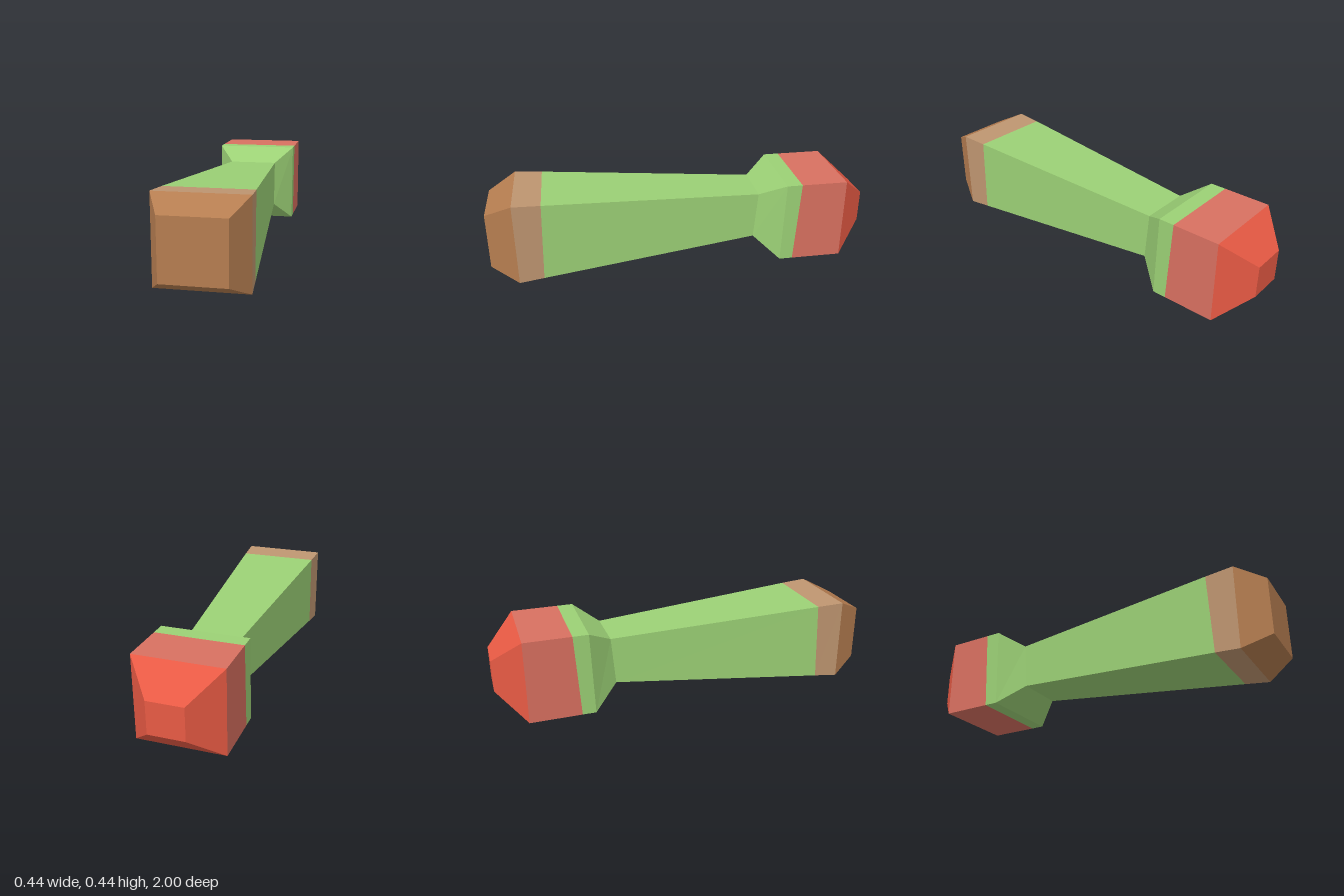
import * as THREE from 'three';

const material = (name, color) => {
  const m = new THREE.MeshStandardMaterial({ color });
  m.name = name;
  return m;
};

// A rectangular cross-section whose lower and upper edges may sit at different z
const section = (halfWidth, yLow, yHigh, zLow, zHigh = zLow) => [
  [-halfWidth, yLow, zLow], [halfWidth, yLow, zLow],
  [halfWidth, yHigh, zHigh], [-halfWidth, yHigh, zHigh],
];

// Flat-faced loft through sections ordered front to back, with optional end caps
function loft(sections, capFront, capBack) {
  const positions = [];
  const quad = (a, b, c, d) => positions.push(...a, ...b, ...c, ...a, ...c, ...d);
  for (let s = 0; s < sections.length - 1; s++) {
    const a = sections[s], b = sections[s + 1];
    for (let i = 0; i < 4; i++) {
      const j = (i + 1) % 4;
      quad(a[i], b[i], b[j], a[j]);
    }
  }
  if (capFront) quad(...sections[0]);
  if (capBack) quad(...[...sections[sections.length - 1]].reverse());
  const geometry = new THREE.BufferGeometry();
  geometry.setAttribute('position', new THREE.Float32BufferAttribute(positions, 3));
  geometry.computeVertexNormals();
  return geometry;
}

export function createModel() {
  const group = new THREE.Group();
  group.name = 'taperedClub';

  const brown = material('brown', 0xb57d50);
  const tan = material('tan', 0xbe9570);
  const green = material('green', 0x9bd075);
  const rose = material('rose', 0xd87060);
  const red = material('red', 0xe85a44);

  // Cross-sections from the wide front end to the back of the head
  const frontFace = section(0.152, 0.07, 0.363, 1);
  const frontRim = section(0.222, 0, 0.433, 0.86);
  const bandEnd = section(0.213, 0.012, 0.426, 0.735, 0.717);
  const neck = section(0.13, 0.115, 0.362, -0.39, -0.41);
  const headRim = section(0.222, 0.01, 0.44, -0.52, -0.535);
  const headBand = section(0.222, 0.01, 0.44, -0.59, -0.615);
  const headBack = section(0.222, 0.01, 0.44, -0.855);
  const backFace = section(0.09, 0.145, 0.31, -1);

  const add = (name, mat, sections, capFront = false, capBack = false) => {
    const mesh = new THREE.Mesh(loft(sections, capFront, capBack), mat);
    mesh.name = name;
    group.add(mesh);
  };

  add('frontCap', brown, [frontFace, frontRim], true);
  add('frontBand', tan, [frontRim, bandEnd]);
  add('shaft', green, [bandEnd, neck]);
  add('headCollar', green, [neck, headRim, headBand]);
  add('headBlock', rose, [headBand, headBack]);
  add('headTip', red, [headBack, backFace], false, true);

  return group;
}
